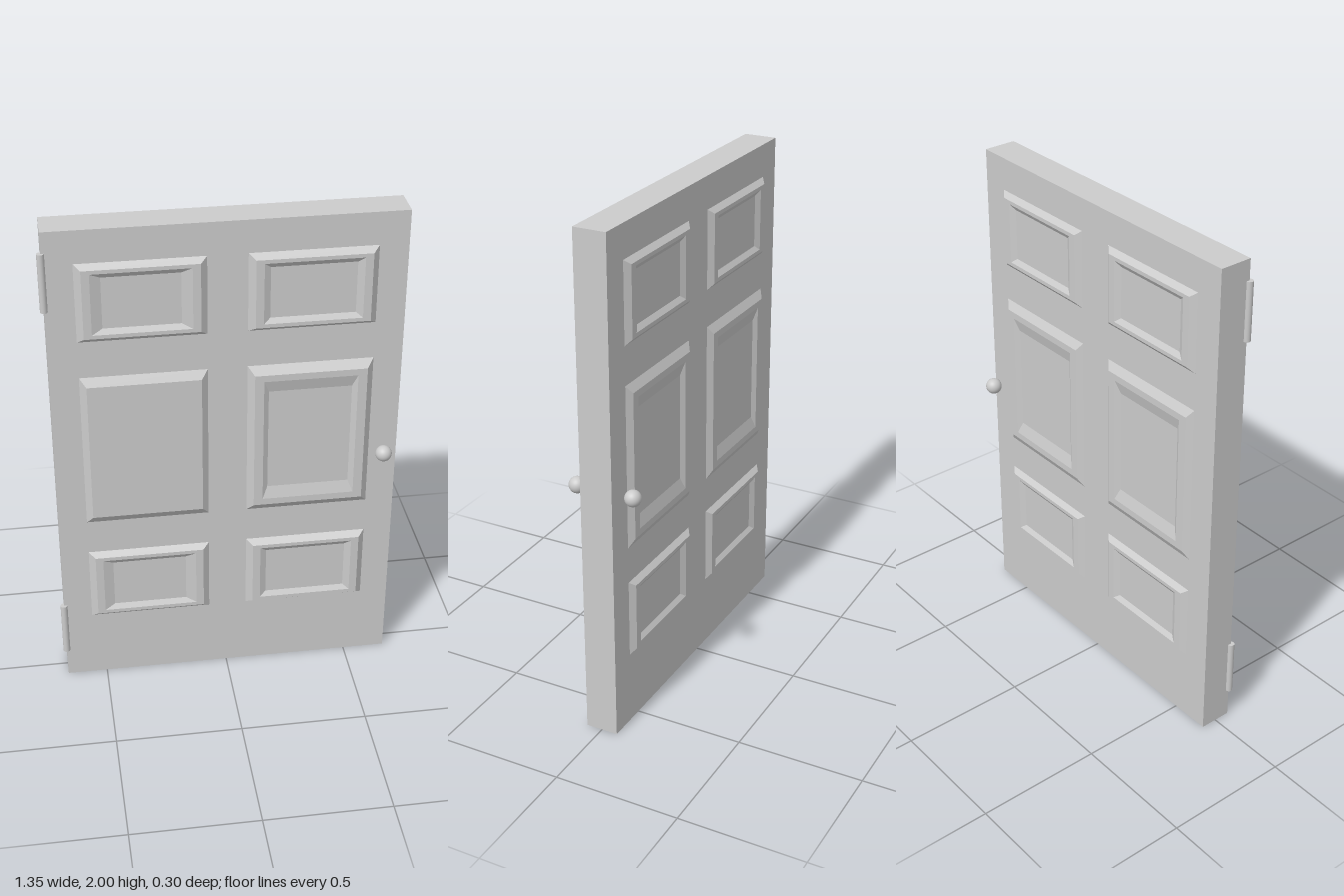
import * as THREE from 'three';

const material = new THREE.MeshStandardMaterial({ color: 0xcccccc, flatShading: true });
const smooth = new THREE.MeshStandardMaterial({ color: 0xcccccc });

const FACE = 0.065; // half the door thickness

// Raised panel: nested rectangles [insetX, insetY, z] joined by sloped strips and capped
function panelGeometry(width, height, loops) {
  const positions = [];
  const rings = loops.map(([ix, iy, z]) => {
    const x = width / 2 - ix, y = height / 2 - iy;
    return [[-x, -y, z], [x, -y, z], [x, y, z], [-x, y, z]];
  });
  const quad = (a, b, c, d) => positions.push(...a, ...b, ...c, ...a, ...c, ...d);
  for (let i = 0; i < rings.length - 1; i++) {
    for (let k = 0; k < 4; k++) {
      const n = (k + 1) % 4;
      quad(rings[i][k], rings[i][n], rings[i + 1][n], rings[i + 1][k]);
    }
  }
  quad(...rings[rings.length - 1]);
  const geometry = new THREE.BufferGeometry();
  geometry.setAttribute('position', new THREE.Float32BufferAttribute(positions, 3));
  geometry.computeVertexNormals();
  return geometry;
}

export function createModel() {
  const door = new THREE.Group();
  door.name = 'door';

  function add(name, geometry, x, y, z, mat = material) {
    const mesh = new THREE.Mesh(geometry, mat);
    mesh.name = name;
    mesh.position.set(x, y, z);
    door.add(mesh);
    return mesh;
  }

  // Door leaf
  add('doorLeaf', new THREE.BoxGeometry(1.33, 2, FACE * 2), 0.005, 1, 0);

  // Six panels on each face: short ones above and below, tall ones in the middle
  const rows = [
    { name: 'upper', y: 1.7125, height: 0.315 },
    { name: 'middle', y: 1.08, height: 0.65 },
    { name: 'lower', y: 0.4525, height: 0.315 },
  ];
  for (const row of rows) {
    for (const [column, x] of [['Hinge', -0.31], ['Knob', 0.32]]) {
      for (const side of ['Front', 'Back']) {
        const tall = row.name === 'middle';
        const front = side === 'Front';
        const top = front ? (column === 'Knob' ? 0.09 : 0.086) : 0.083;
        const floor = top - 0.013;
        // Outer bevel
        const loops = [[0, 0, FACE], [0.025, tall ? 0.033 : 0.02, top]];
        if (tall) {
          // Sunken field with steep sides and gentle ends; one panel stays plain
          if (!(front && column === 'Hinge')) {
            loops.push([0.06, 0.06, top], [0.08, 0.11, floor]);
          }
        } else {
          // Sunken field; gentler sides on the front hinge column
          const soft = front && column === 'Hinge';
          loops.push([0.055, 0.035, top], [soft ? 0.095 : 0.08, 0.055, floor]);
        }
        const panel = add(row.name + column + side + 'Panel',
          panelGeometry(0.48, row.height, loops), x, row.y, 0);
        if (!front) panel.rotation.y = Math.PI;
      }
    }
  }

  // Door knobs
  const knob = new THREE.SphereGeometry(0.032, 32, 20);
  add('frontKnob', knob, 0.61, 1, 0.113, smooth);
  add('backKnob', knob, 0.61, 1, -0.118, smooth);

  // Hinge pins
  const hinge = new THREE.CylinderGeometry(0.014, 0.014, 0.23, 16);
  add('upperHinge', hinge, -0.661, 1.803, FACE, smooth);
  add('lowerHinge', hinge, -0.661, 0.24, FACE, smooth);

  return door;
}
